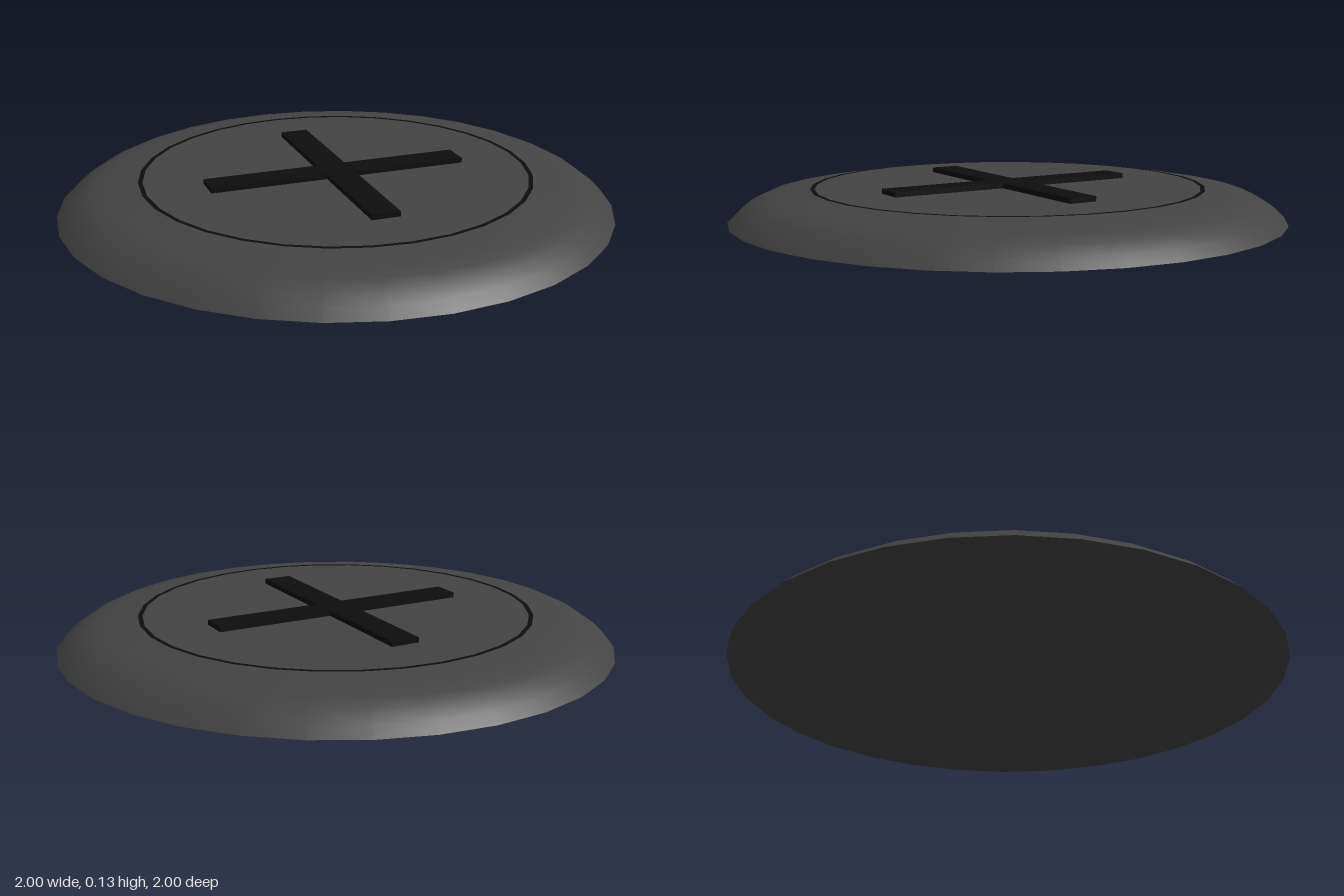
import * as THREE from 'three';

const SIDES = 32;
const TOP = 0.11;

export function createModel() {
  const group = new THREE.Group();
  const bodyMat = new THREE.MeshStandardMaterial({ color: 0x444444 });
  const darkMat = new THREE.MeshStandardMaterial({ color: 0x0e0e0e });

  const add = (name, geometry, material, y = 0) => {
    const mesh = new THREE.Mesh(geometry, material);
    mesh.name = name;
    mesh.position.y = y;
    group.add(mesh);
    return mesh;
  };

  // Rounded rim rising from the outer edge to the flat top
  const profile = [[1, 0], [0.965, 0.034], [0.925, 0.062], [0.88, 0.083], [0.82, 0.094], [0.71, TOP]]
    .map(([r, y]) => new THREE.Vector2(r, y));
  add('rim', new THREE.LatheGeometry(profile, SIDES), bodyMat);

  // Flat top and underside
  add('topFace', new THREE.CircleGeometry(0.71, SIDES).rotateX(-Math.PI / 2), bodyMat, TOP);
  add('underside', new THREE.CircleGeometry(1, SIDES).rotateX(Math.PI / 2), bodyMat);

  // Thin dark line around the top face
  add('ringLine', new THREE.RingGeometry(0.694, 0.71, SIDES).rotateX(-Math.PI / 2), darkMat, TOP + 0.002);

  // Raised cross: one full bar and two half bars meeting it
  const length = 0.958, width = 0.104, height = 0.018;
  const arm = (length - width) / 2;
  const y = TOP + height / 2;
  add('crossBar', new THREE.BoxGeometry(length, height, width), darkMat, y);
  for (const side of [-1, 1]) {
    const mesh = add('crossArm', new THREE.BoxGeometry(width, height, arm), darkMat, y);
    mesh.position.z = side * (width + arm) / 2;
  }

  return group;
}
